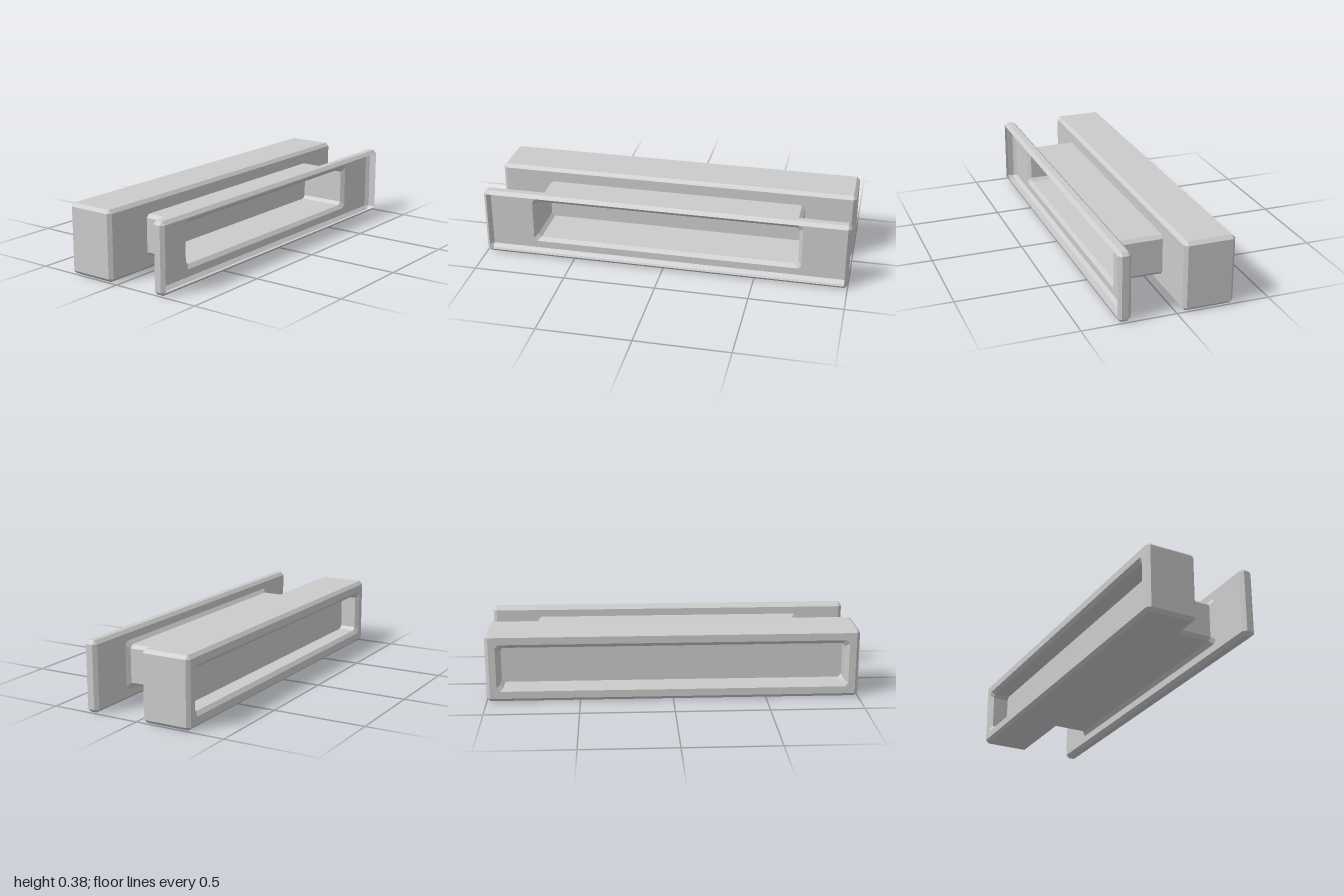
import * as THREE from 'three';

const CY = 0.1875; // height of the long axis
const B = 0.018;   // bevel size

// Rectangle with chamfered corners in the y-z plane at a given x
function ring([x, hy, hz, c]) {
  return [
    [hy, -(hz - c)], [hy, hz - c], [hy - c, hz], [-(hy - c), hz],
    [-hy, hz - c], [-hy, -(hz - c)], [-(hy - c), -hz], [hy - c, -hz],
  ].map(([y, z]) => new THREE.Vector3(x, CY + y, z));
}

// Skin a row of rings with flat faces, optionally closing either end
function loft(name, sections, capStart, capEnd, material) {
  const rings = sections.map(ring);
  const pos = [];
  const tri = (a, b, c) => {
    const area = b.clone().sub(a).cross(c.clone().sub(a)).length();
    if (area > 1e-9) for (const v of [a, b, c]) pos.push(v.x, v.y, v.z);
  };
  for (let i = 0; i < rings.length - 1; i++) {
    const r = rings[i], s = rings[i + 1];
    for (let k = 0; k < 8; k++) {
      const n = (k + 1) % 8;
      tri(r[k], r[n], s[n]);
      tri(r[k], s[n], s[k]);
    }
  }
  const last = rings[rings.length - 1];
  for (let k = 1; k < 7; k++) {
    if (capStart) tri(rings[0][0], rings[0][k + 1], rings[0][k]);
    if (capEnd) tri(last[0], last[k], last[k + 1]);
  }
  const geo = new THREE.BufferGeometry();
  geo.setAttribute('position', new THREE.Float32BufferAttribute(pos, 3));
  geo.computeVertexNormals();
  const mesh = new THREE.Mesh(geo, material);
  mesh.name = name;
  return mesh;
}

export function createModel() {
  const group = new THREE.Group();
  group.name = 'slottedRail';
  const mat = new THREE.MeshStandardMaterial({
    color: 0xcccccc, flatShading: true, side: THREE.DoubleSide,
  });
  const H = 0.1875, L = 1;

  // Heavy block with a chamfered recess in its outer side
  group.add(loft('block', [
    [-0.2, 0.11, 0.925, B],
    [-0.29, 0.11, 0.925, B],
    [-0.308, 0.13, 0.945, B],
    [-0.308, H - B, L - B, 0],
    [-0.308 + B, H, L, B],
    [-0.034 - B, H, L, B],
    [-0.034, H - B, L - B, 0],
  ], true, true, mat));

  // Hollow connecting web, flared where it meets the tray
  group.add(loft('web', [
    [-0.034, 0.11, 0.725, B],
    [0.22, 0.11, 0.725, B],
    [0.238, 0.13, 0.745, B],
  ], false, false, mat));

  // Shallow tray, open on its outer side, with a slot into the web
  group.add(loft('tray', [
    [0.238, 0.13, 0.745, B],
    [0.238, H - B, L - B, 0],
    [0.238 + B, H, L, B],
    [0.308 - B, H, L, B],
    [0.308, H - B, L - B, 0],
  ], false, false, mat));

  return group;
}
